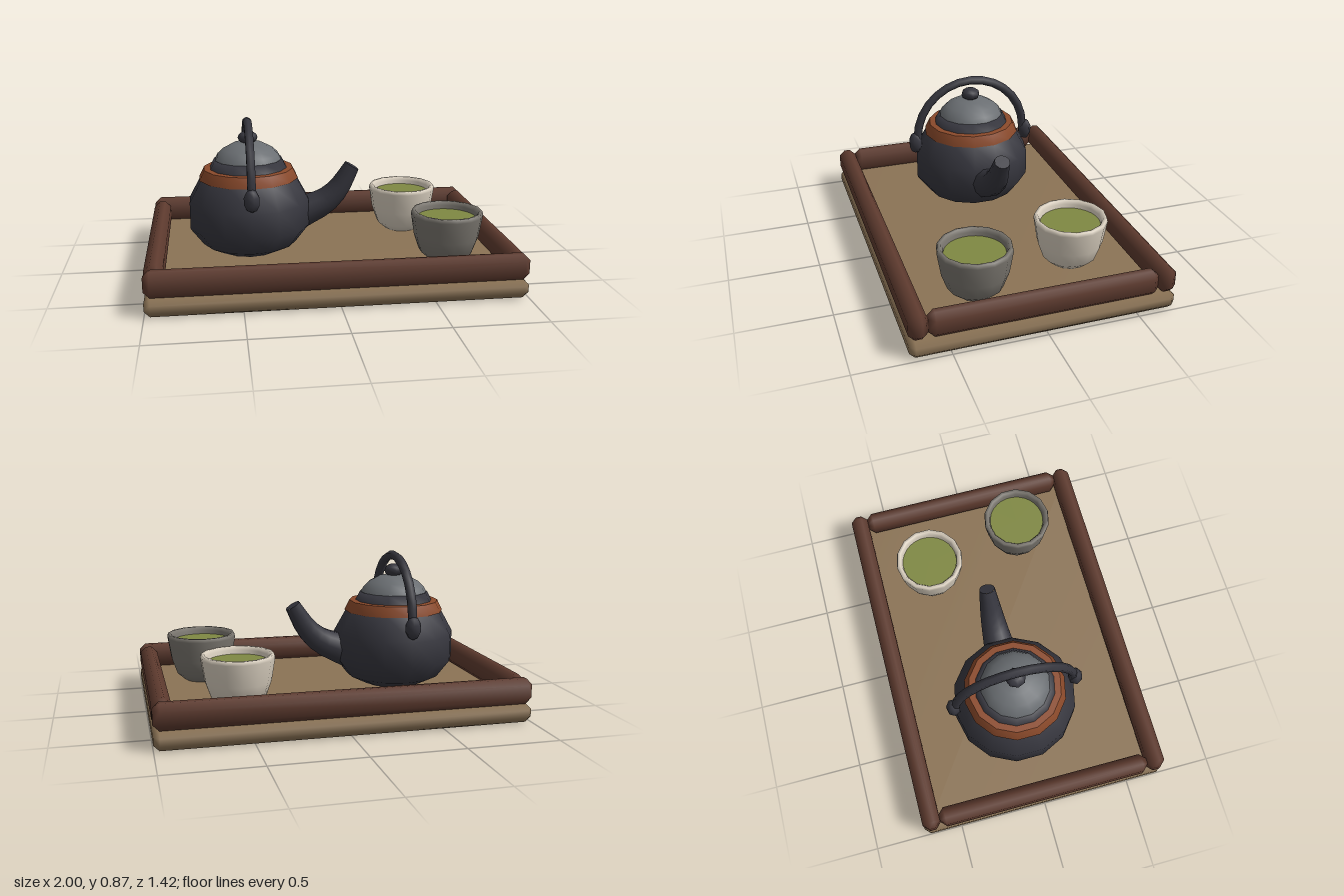
import * as THREE from 'three';
import { mergeVertices } from 'three/addons/utils/BufferGeometryUtils.js';
import { ConvexGeometry } from 'three/addons/geometries/ConvexGeometry.js';

const mat = (name, color) => {
  const m = new THREE.MeshStandardMaterial({ color });
  m.name = name;
  return m;
};

// Box with every edge chamfered by c and soft normals
function chamferBox(w, h, d, c) {
  const half = [w / 2, h / 2, d / 2], pts = [];
  for (let axis = 0; axis < 3; axis++)
    for (const sx of [-1, 1]) for (const sy of [-1, 1]) for (const sz of [-1, 1]) {
      const p = [sx, sy, sz].map((s, i) => s * (i === axis ? half[i] : half[i] - c));
      pts.push(new THREE.Vector3(...p));
    }
  const g = new ConvexGeometry(pts);
  g.deleteAttribute('normal');
  const merged = mergeVertices(g, 1e-5);
  merged.computeVertexNormals();
  return merged;
}

const lathe = (profile, sides) =>
  new THREE.LatheGeometry(profile.map(([r, y]) => new THREE.Vector2(r, y)), sides);

export function createModel() {
  const model = new THREE.Group();
  model.name = 'teaTray';
  const wood = mat('paleWood', 0x8b7355);
  const rail = mat('darkWood', 0x5d3a2e);
  const iron = mat('castIron', 0x36363e);
  const steel = mat('greyLid', 0x6a6e72);
  const copper = mat('copperBand', 0x8b4a2b);
  const cream = mat('creamGlaze', 0xd9cfbf);
  const grey = mat('greyGlaze', 0x7a766f);
  const tea = mat('greenTea', 0x7f8843);

  const add = (parent, name, geo, material, x = 0, y = 0, z = 0) => {
    const m = new THREE.Mesh(geo, material);
    m.name = name;
    m.position.set(x, y, z);
    parent.add(m);
    return m;
  };

  // Tray: board, four rails and two battens set into the underside
  const tray = new THREE.Group();
  tray.name = 'tray';
  model.add(tray);
  add(tray, 'trayBoard', chamferBox(2, 0.1, 1.42, 0.03), wood, 0, 0.051, 0);
  for (const s of [-1, 1]) {
    add(tray, s > 0 ? 'frontRail' : 'backRail', chamferBox(2, 0.14, 0.1, 0.033), rail, 0, 0.17, s * 0.66);
    add(tray, s > 0 ? 'leftRail' : 'rightRail', chamferBox(0.1, 0.14, 1.22, 0.033), rail, s * 0.95, 0.17, 0);
    add(tray, 'batten', new THREE.BoxGeometry(0.18, 0.04, 1.1), rail, s * 0.62, 0.02, 0);
  }

  // Teapot
  const pot = new THREE.Group();
  pot.name = 'teapot';
  pot.position.set(-0.43, 0, -0.033);
  model.add(pot);
  add(pot, 'potBody', lathe([[0, 0.1], [0.17, 0.1], [0.27, 0.15], [0.345, 0.25],
    [0.345, 0.4], [0.275, 0.528], [0.21, 0.56]], 14), iron);
  add(pot, 'potBand', lathe([[0.27, 0.525], [0.284, 0.525], [0.255, 0.583]], 14), copper);
  add(pot, 'bandTop', lathe([[0.255, 0.583], [0.2, 0.585]], 14), copper);
  add(pot, 'potCollar', lathe([[0.222, 0.58], [0.195, 0.632], [0, 0.633]], 14), iron);
  add(pot, 'lid', lathe([[0, 0.63], [0.19, 0.63]], 14), steel).material = steel;
  add(pot, 'lidDome', lathe([[0.19, 0.63], [0.175, 0.66], [0.143, 0.69],
    [0.085, 0.722], [0, 0.733]], 14), steel);
  add(pot, 'lidKnob', new THREE.SphereGeometry(0.056, 8, 6).scale(1, 0.68, 1), iron, 0, 0.755, 0);

  // Handle arch and its two lugs
  add(pot, 'handle', new THREE.TorusGeometry(0.335, 0.026, 6, 14, Math.PI).rotateY(Math.PI / 2),
    iron, 0, 0.505, 0);
  for (const s of [-1, 1])
    add(pot, 'handleLug', new THREE.SphereGeometry(0.046, 7, 5).scale(1, 1.42, 0.9),
      iron, 0, 0.48, s * 0.35);

  // Spout: tube whose rings shrink toward the tip, closed with a disc
  const path = new THREE.CatmullRomCurve3([[0.24, 0.28], [0.34, 0.32], [0.435, 0.362],
    [0.515, 0.435], [0.598, 0.572]].map(([x, y]) => new THREE.Vector3(x, y, 0)));
  const steps = 8, sides = 10, tipRadius = 0.045;
  const spout = new THREE.TubeGeometry(path, steps, 1, sides);
  const pos = spout.attributes.position, v = new THREE.Vector3();
  for (let i = 0; i < pos.count; i++) {
    const t = Math.floor(i / (sides + 1)) / steps;
    const c = path.getPointAt(t);
    v.fromBufferAttribute(pos, i).sub(c).multiplyScalar(THREE.MathUtils.lerp(0.1, tipRadius, t)).add(c);
    pos.setXYZ(i, v.x, v.y, v.z);
  }
  add(pot, 'spout', spout, iron);
  const tip = add(pot, 'spoutTip', new THREE.CircleGeometry(tipRadius, sides), iron);
  tip.position.copy(path.getPointAt(1));
  tip.quaternion.setFromUnitVectors(new THREE.Vector3(0, 0, 1), path.getTangentAt(1));

  // Two cups filled with tea
  const cupShape = lathe([[0, 0.101], [0.1, 0.101], [0.15, 0.145], [0.18, 0.23], [0.2, 0.355],
    [0.195, 0.375], [0.178, 0.375], [0.168, 0.355], [0.16, 0.3]], 14);
  for (const [name, glaze, x, z] of [['backCup', cream, 0.525, -0.3], ['frontCup', grey, 0.655, 0.28]]) {
    const cup = new THREE.Group();
    cup.name = name;
    cup.position.set(x, 0, z);
    model.add(cup);
    add(cup, 'cupBowl', cupShape, glaze);
    add(cup, 'teaSurface', new THREE.CircleGeometry(0.165, 14).rotateX(-Math.PI / 2), tea, 0, 0.335, 0);
  }
  return model;
}
